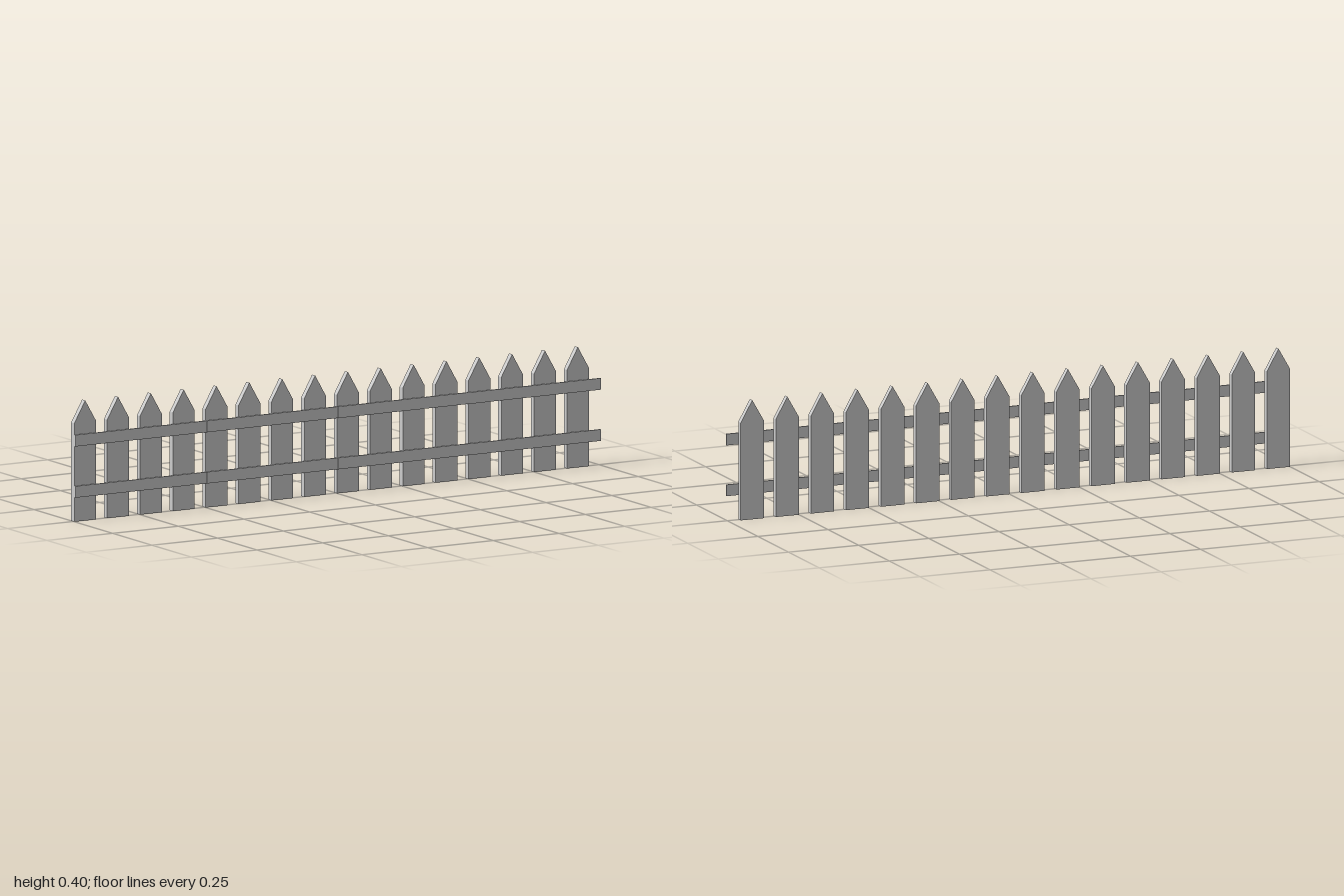
import * as THREE from 'three';

export function createModel() {
  const fence = new THREE.Group();
  fence.name = 'picketFence';
  const grey = new THREE.MeshStandardMaterial({ color: 0xcccccc });
  grey.name = 'lightGrey';

  // Pointed picket, extruded to a flat board
  const width = 0.083, shoulder = 0.327, height = 0.399, depth = 0.02;
  const outline = new THREE.Shape([
    new THREE.Vector2(-width / 2, 0),
    new THREE.Vector2(width / 2, 0),
    new THREE.Vector2(width / 2, shoulder),
    new THREE.Vector2(0, height),
    new THREE.Vector2(-width / 2, shoulder),
  ]);
  const picketGeometry = new THREE.ExtrudeGeometry(outline, { depth, bevelEnabled: false });

  // Sixteen pickets, starting flush with the right end of the rails
  const count = 16, pitch = 0.125;
  for (let i = 0; i < count; i++) {
    const picket = new THREE.Mesh(picketGeometry, grey);
    picket.name = `picket${i + 1}`;
    picket.position.set(-1 + width / 2 + i * pitch, 0, -0.0135);
    fence.add(picket);
  }

  // Two thin rails across the front, each in four very slightly angled sections
  const sections = 4, sectionLength = 2 / sections;
  const railGeometry = new THREE.BoxGeometry(sectionLength, 0.038, 0.006);
  for (const [name, y] of [['lowerRail', 0.1], ['upperRail', 0.27]]) {
    const rail = new THREE.Group();
    rail.name = name;
    for (let i = 0; i < sections; i++) {
      const section = new THREE.Mesh(railGeometry, grey);
      section.name = `${name}Section${i + 1}`;
      section.position.set(-1 + (i + 0.5) * sectionLength, y, 0.01);
      section.rotation.y = 0.003;
      rail.add(section);
    }
    fence.add(rail);
  }
  return fence;
}
